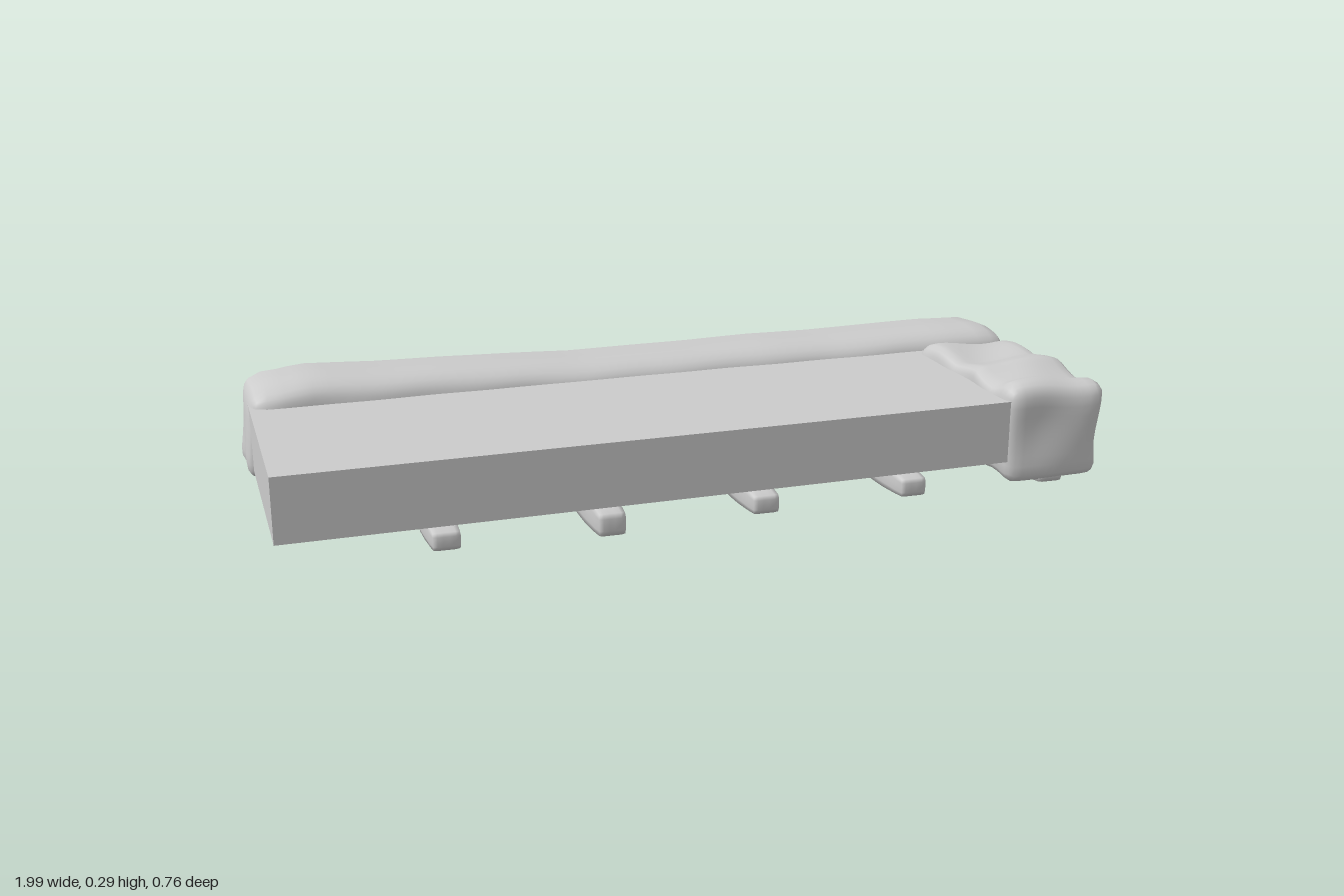
import * as THREE from 'three';
import { mergeVertices } from 'three/addons/utils/BufferGeometryUtils.js';

const material = new THREE.MeshStandardMaterial({ color: 0xcccccc });

// Linear lookup in a short list of evenly spaced values, t in 0..1
function sample(list, t) {
  const f = THREE.MathUtils.clamp(t, 0, 1) * (list.length - 1);
  const i = Math.min(Math.floor(f), list.length - 2);
  return THREE.MathUtils.lerp(list[i], list[i + 1], f - i);
}

// Rough-hewn block: a rounded box whose top and bottom follow profiles along its long axis
function hewnBlock(name, { x, z, top, bottom, radius, segments, lump = 0.005, axis = 'x', adjust }) {
  const w = x[1] - x[0], d = z[1] - z[0], h = sample(top, 0.5) - sample(bottom, 0.5);
  let g = new THREE.BoxGeometry(w, h, d, ...segments);
  g.deleteAttribute('uv');
  g.deleteAttribute('normal');
  g = mergeVertices(g, 1e-5);
  const half = new THREE.Vector3(w / 2, h / 2, d / 2);
  const inner = half.clone().subScalar(radius);
  const p = new THREE.Vector3(), core = new THREE.Vector3(), pos = g.attributes.position;
  for (let i = 0; i < pos.count; i++) {
    p.fromBufferAttribute(pos, i);
    core.copy(p).clamp(inner.clone().negate(), inner);
    p.sub(core).setLength(radius).add(core);
    const t = axis === 'x' ? p.x / w + 0.5 : p.z / d + 0.5;
    const v = p.y / h + 0.5;
    const y = THREE.MathUtils.lerp(sample(bottom, t), sample(top, t), v);
    // Shallow dents, pushed inwards so the overall size stays put
    const a = p.x * 17 + p.z * 9, b = p.y * 23 + p.z * 21 - p.x * 8;
    const dent = lump * (1 + Math.sin(a) * Math.cos(b));
    p.x -= (p.x / half.x) * dent;
    p.z -= (p.z / half.z) * dent;
    p.set(p.x + (x[0] + x[1]) / 2, y, p.z + (z[0] + z[1]) / 2);
    if (adjust) adjust(p, v);
    pos.setXYZ(i, p.x, p.y, p.z);
  }
  g.computeVertexNormals();
  const mesh = new THREE.Mesh(g, material);
  mesh.name = name;
  return mesh;
}

export function createModel() {
  const group = new THREE.Group();
  group.name = 'platform';

  // Flat deck slab
  const deck = new THREE.Mesh(new THREE.BoxGeometry(1.9, 0.15, 0.6), material);
  deck.name = 'deck';
  deck.position.set(-0.03, 0.155, 0.06);
  group.add(deck);

  // Long beam along the back, with a low crest and a raised front underside
  group.add(hewnBlock('backBeam', {
    x: [-1, 1], z: [-0.38, -0.12], radius: 0.042, segments: [48, 10, 12], lump: 0.003,
    top: [0.262, 0.278, 0.27, 0.267, 0.262, 0.255, 0.256, 0.257, 0.26, 0.257, 0.26, 0.262, 0.256],
    bottom: [0.034, 0.028, 0.022, 0.025, 0.022, 0.026, 0.028, 0.024, 0.021, 0.026, 0.018, 0.016, 0.026],
    adjust(p, v) {
      const u = (p.z + 0.38) / 0.26;
      p.y += v * sample([-0.004, 0, 0.005, 0.01, 0.004, -0.01], u);
      p.y += (1 - v) * sample([0, 0, 0.006, 0.011, 0.016, 0.02], u);
      if (p.x < -0.9) p.x += 0.02 * v;
    },
  }));

  // Short beam across the left end
  group.add(hewnBlock('endBeam', {
    axis: 'z', x: [0.72, 0.985], z: [-0.124, 0.378], radius: 0.034, segments: [12, 10, 28],
    top: [0.255, 0.262, 0.266, 0.264, 0.258, 0.27, 0.28, 0.266, 0.258, 0.274, 0.262],
    bottom: [0.023, 0.026, 0.03, 0.034, 0.036, 0.036, 0.034, 0.03, 0.034, 0.03, 0.02],
    adjust(p, v) {
      p.y -= 0.012 * v * (0.5 + 0.5 * Math.sin(p.x * 24 + p.z * 13));
    },
  }));

  // Hewn joists under the deck
  const joists = [[-0.62, 0.012], [-0.25, 0], [0.115, 0.01], [0.485, 0.01], [0.85, 0.006]];
  joists.forEach(([x, low], i) => {
    group.add(hewnBlock(`joist${i + 1}`, {
      axis: 'z', x: [x - 0.036, x + 0.036], z: [-0.25, 0.368], radius: 0.011,
      segments: [5, 4, 20], lump: 0.002,
      top: [0.066, 0.076, 0.082, 0.08, 0.082, 0.078, 0.068],
      bottom: [low + 0.012, low + 0.01, low + 0.004, low, low + 0.002, low + 0.005, low + 0.012],
    }));
  });

  return group;
}
